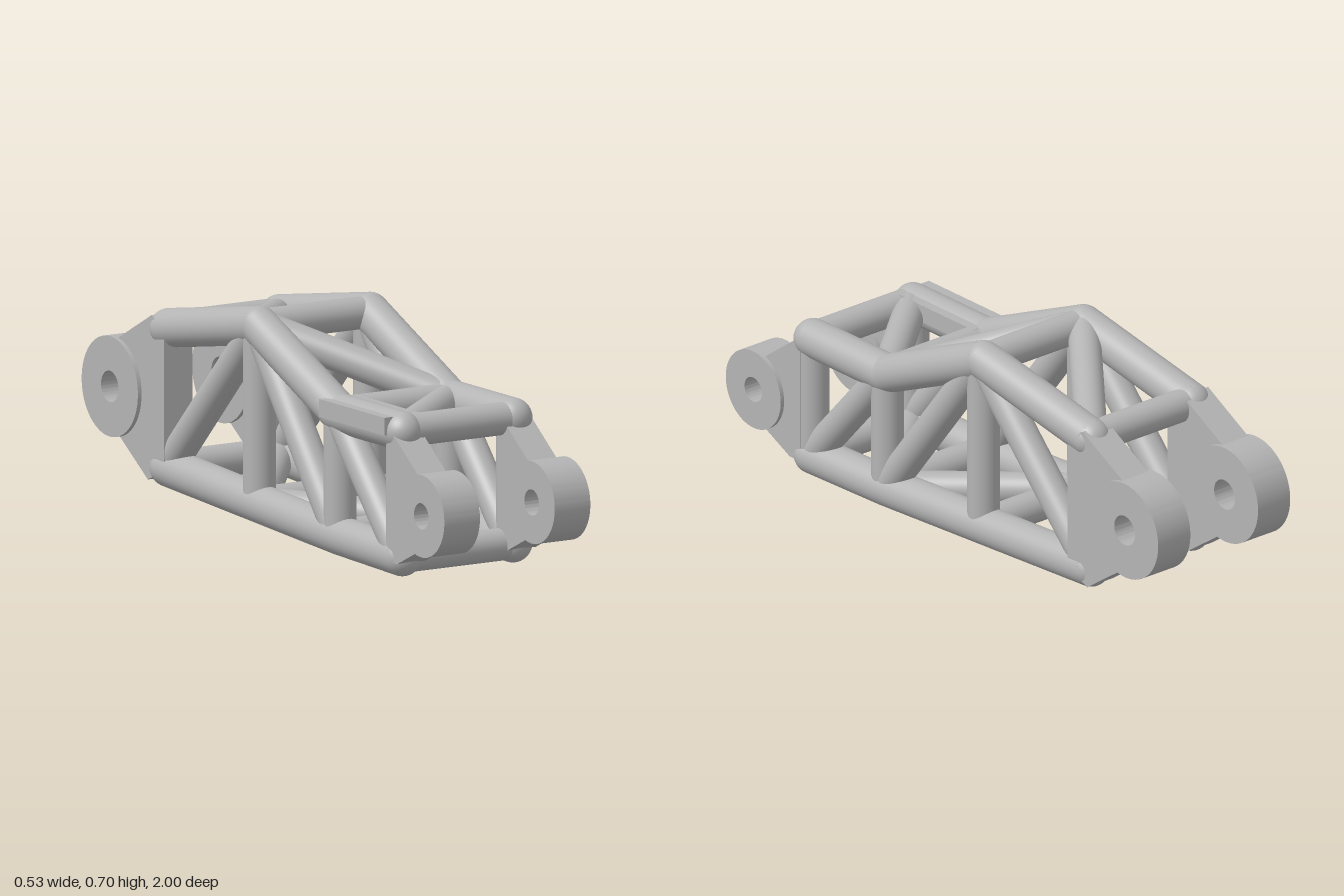
import * as THREE from 'three';
import { toCreasedNormals } from 'three/addons/utils/BufferGeometryUtils.js';

const X = 0.2;          // half spacing of the two side trusses
const R_CHORD = 0.06;   // main rails
const R_BRACE = 0.05;   // posts, cross tubes and diagonals

export function createModel() {
  const model = new THREE.Group();
  model.name = 'trussLink';
  const steel = new THREE.MeshStandardMaterial({ color: 0xb4b4b4 });
  steel.name = 'grey steel';

  const add = (geometry, name) => {
    const mesh = new THREE.Mesh(geometry, steel);
    mesh.name = name;
    model.add(mesh);
    return mesh;
  };

  // round tube between two points
  const tube = (a, b, radius, name) => {
    const dir = b.clone().sub(a);
    const mesh = add(new THREE.CylinderGeometry(radius, radius, dir.length(), 40), name);
    mesh.position.copy(a).add(b).multiplyScalar(0.5);
    mesh.quaternion.setFromUnitVectors(new THREE.Vector3(0, 1, 0), dir.normalize());
  };

  // side profile extruded across the width, profile given as (z, y)
  const slab = (shape, width, x, name) => {
    const g = new THREE.ExtrudeGeometry(shape, { depth: width, bevelEnabled: false, curveSegments: 48 });
    g.translate(0, 0, -width / 2).rotateY(-Math.PI / 2);
    add(toCreasedNormals(g, 0.5), name).position.x = x;
  };

  // truss nodes as [z, y], front to rear
  const top = [[0.67, 0.447], [0.327, 0.447], [-0.118, 0.645], [-0.615, 0.557]];
  const bottom = [[0.67, 0.06], [0.327, 0.07], [-0.118, 0.097], [-0.615, 0.127]];
  const at = (x, [z, y]) => new THREE.Vector3(x, y, z);

  // end lugs: plate outline, eye centre [z, y], eye and hole radius
  const lugs = [
    {
      name: 'front', eye: [0.873, 0.224], r: 0.127, hole: 0.04,
      plate: [[0.67, 0.447], [0.7, 0.443], [0.833, 0.344], [0.833, 0.105], [0.72, 0.05], [0.67, 0.05]],
    },
    {
      name: 'rear', eye: [-0.844, 0.346], r: 0.155, hole: 0.048,
      plate: [[-0.565, 0.56], [-0.635, 0.598], [-0.82, 0.498], [-0.795, 0.42],
        [-0.795, 0.25], [-0.81, 0.196], [-0.655, 0.088], [-0.565, 0.13]],
    },
  ];

  for (const x of [-X, X]) {
    // rails with rounded joints
    for (const [nodes, label] of [[top, 'top'], [bottom, 'bottom']]) {
      nodes.forEach((n, i) => {
        const joint = add(new THREE.SphereGeometry(R_CHORD, 32, 20), label + 'Joint');
        joint.position.copy(at(x, n));
        if (i) tube(at(x, nodes[i - 1]), at(x, n), R_CHORD, label + 'Rail');
      });
    }
    // posts and side diagonals
    top.forEach((n, i) => tube(at(x, bottom[i]), at(x, n), R_BRACE, 'post'));
    tube(at(x, bottom[0]), at(x, top[1]), R_BRACE, 'sideDiagonal');
    tube(at(x, bottom[1]), at(x, top[2]), R_BRACE, 'sideDiagonal');
    tube(at(x, top[2]), at(x, bottom[3]), R_BRACE, 'sideDiagonal');

    // lug plates and pierced eyes
    for (const { name, eye, r, hole, plate } of lugs) {
      slab(new THREE.Shape(plate.map((p) => new THREE.Vector2(...p))), 0.102, x, name + 'LugPlate');
      const ring = new THREE.Shape().absarc(eye[0], eye[1], r, 0, Math.PI * 2);
      ring.holes.push(new THREE.Path().absarc(eye[0], eye[1], hole, 0, Math.PI * 2, true));
      slab(ring, 0.129, x, name + 'LugEye');
    }
  }

  // cross tubes and zigzag diagonals, upper and lower
  for (const [nodes, label] of [[top, 'top'], [bottom, 'bottom']]) {
    for (const n of nodes) tube(at(-X, n), at(X, n), R_BRACE, label + 'CrossTube');
    for (let i = 0; i < 3; i++) {
      const side = i % 2 ? X : -X;
      tube(at(side, nodes[i]), at(-side, nodes[i + 1]), R_BRACE, label + 'Diagonal');
    }
  }

  // flat mounting pad around the right upper rail
  add(new THREE.BoxGeometry(0.135, 0.055, 0.362), 'mountingPad').position.set(-X, 0.468, 0.494);

  return model;
}
